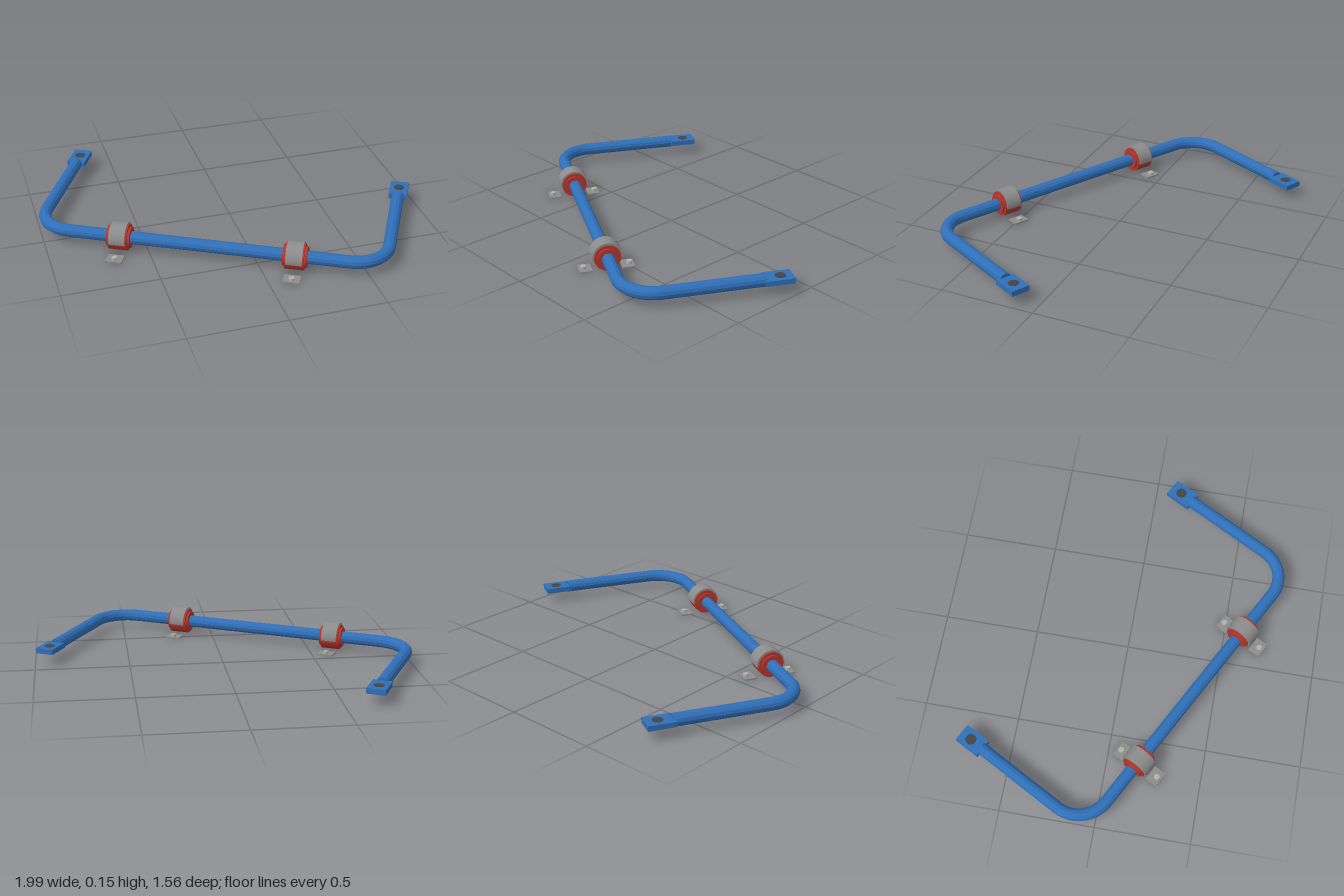
import * as THREE from 'three';

const mat = (name, color, extra = {}) => new THREE.MeshStandardMaterial({ name, color, ...extra });

export function createModel() {
  const blue = mat('blue paint', 0x2f6fb8, { flatShading: true });
  const red = mat('red bushing', 0xb5352a, { flatShading: true });
  const grey = mat('grey steel', 0x8c8c8c, { flatShading: true });
  const pale = mat('pale bolt', 0xb4b0a4);
  const dark = mat('dark hole', 0x444444);

  const R = 0.033, Y = 0.073;          // bar radius and height
  const HALF = 0.904, BEND = 0.178;    // half width and bend radius
  const ARM = 0.685, TIP = 0.818;      // end of the round bar, end of the eye plate

  const model = new THREE.Group();
  model.name = 'antiRollBar';
  const body = new THREE.Group();
  body.name = 'barAssembly';
  body.position.set(-0.231, 0, 0.382);
  body.rotation.y = -THREE.MathUtils.degToRad(28);
  model.add(body);

  const add = (parent, name, geo, material, x = 0, y = 0, z = 0) => {
    const m = new THREE.Mesh(geo, material);
    m.name = name;
    m.position.set(x, y, z);
    parent.add(m);
    return m;
  };

  // U-shaped bar: straight arms joined by rounded corners
  const v = (x, z) => new THREE.Vector3(x, Y, z);
  const k = BEND * (1 - 0.5523);
  const path = new THREE.CurvePath();
  path.add(new THREE.LineCurve3(v(-HALF, -ARM), v(-HALF, -BEND)));
  path.add(new THREE.CubicBezierCurve3(v(-HALF, -BEND), v(-HALF, -k), v(-HALF + k, 0), v(-HALF + BEND, 0)));
  path.add(new THREE.LineCurve3(v(-HALF + BEND, 0), v(HALF - BEND, 0)));
  path.add(new THREE.CubicBezierCurve3(v(HALF - BEND, 0), v(HALF - k, 0), v(HALF, -k), v(HALF, -BEND)));
  path.add(new THREE.LineCurve3(v(HALF, -BEND), v(HALF, -ARM)));
  add(body, 'bar', new THREE.TubeGeometry(path, 160, R, 12, false), blue);

  // Flattened ends with a bolt eye
  for (const s of [-1, 1]) {
    const side = s > 0 ? 'left' : 'right';
    const cap = add(body, side + 'BarCap', new THREE.CircleGeometry(R, 12), blue, s * HALF, Y, -ARM);
    cap.rotation.y = Math.PI;
    const len = TIP - ARM + 0.01;
    add(body, side + 'EndPlate', new THREE.BoxGeometry(0.098, 0.028, len), blue, s * HALF, Y, -TIP + len / 2);
    add(body, side + 'EyeHole', new THREE.CylinderGeometry(0.028, 0.028, 0.03, 20), dark, s * HALF, Y, -0.755);
  }

  // Half-ring strap that goes over the bushing
  const arch = new THREE.Shape();
  arch.absarc(0, 0, 0.077, -0.1, Math.PI + 0.1, false);
  arch.absarc(0, 0, 0.066, Math.PI + 0.1, -0.1, true);
  const strapGeo = new THREE.ExtrudeGeometry(arch, { depth: 0.084, bevelEnabled: false, curveSegments: 14 });
  strapGeo.translate(0, 0, -0.042).rotateY(Math.PI / 2);
  const axial = (r, length) => new THREE.CylinderGeometry(r, r, length, 20).rotateZ(Math.PI / 2);

  // Bushing mounts
  for (const s of [-1, 1]) {
    const mount = new THREE.Group();
    mount.name = (s > 0 ? 'left' : 'right') + 'Mount';
    mount.position.x = s * 0.453;
    body.add(mount);
    add(mount, 'bushing', axial(0.068, 0.098), red, 0, Y, 0);
    add(mount, 'bushingCollar', axial(0.054, 0.122), red, 0, Y, 0);
    add(mount, 'strap', strapGeo, grey, 0, Y, 0);
    for (const t of [-1, 1]) {
      add(mount, 'footTab', new THREE.BoxGeometry(0.084, 0.008, 0.066), grey, 0, 0.004, t * 0.108);
      add(mount, 'footBolt', new THREE.CylinderGeometry(0.015, 0.015, 0.014, 12), pale, 0, 0.014, t * 0.117);
    }
  }
  return model;
}
